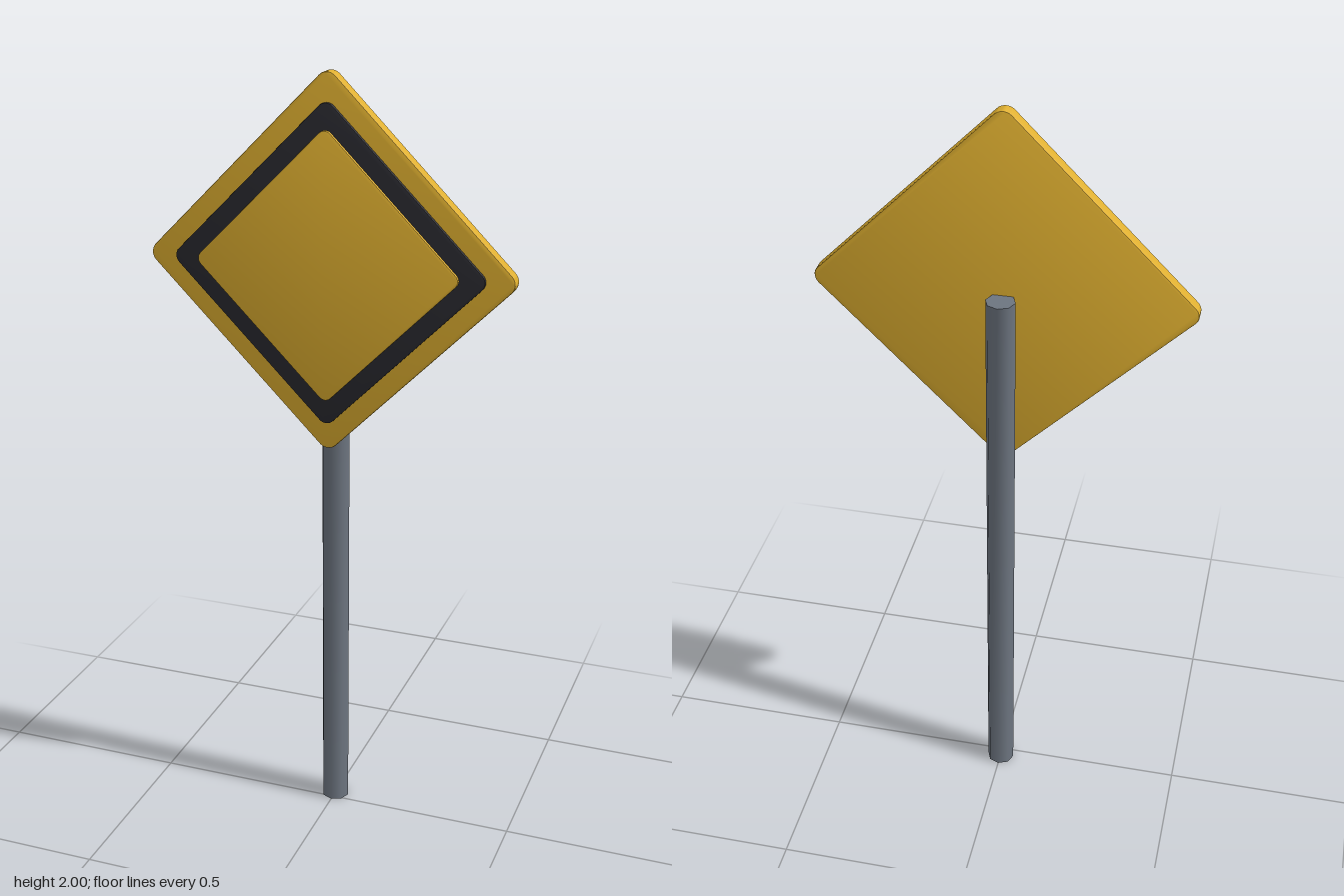
import * as THREE from 'three';
import { toCreasedNormals } from 'three/addons/utils/BufferGeometryUtils.js';

const CENTER_Y = 1.53;

// Square with rounded corners; reach is the distance from centre to a rounded corner
function roundedSquare(reach, r) {
  const h = (reach + r * (Math.SQRT2 - 1)) / Math.SQRT2;
  const s = new THREE.Shape();
  const c = h - r;
  s.absarc(c, c, r, 0, Math.PI / 2);
  s.absarc(-c, c, r, Math.PI / 2, Math.PI);
  s.absarc(-c, -c, r, Math.PI, Math.PI * 1.5);
  s.absarc(c, -c, r, Math.PI * 1.5, Math.PI * 2);
  s.closePath();
  return s;
}

// Diamond-shaped panel between two depths, with slightly softened edges
function panel(name, reach, r, back, front, bevel, color) {
  const geometry = new THREE.ExtrudeGeometry(roundedSquare(reach, r), {
    depth: front - back - 2 * bevel,
    bevelThickness: bevel,
    bevelSize: bevel,
    bevelOffset: -bevel,
    bevelSegments: 2,
    curveSegments: 5,
  });
  const mesh = new THREE.Mesh(
    toCreasedNormals(geometry, 0.7),
    new THREE.MeshStandardMaterial({ color })
  );
  mesh.name = name;
  mesh.rotation.z = Math.PI / 4;
  mesh.position.set(0, CENTER_Y, back + bevel);
  return mesh;
}

export function createModel() {
  const model = new THREE.Group();
  model.name = 'roadSign';

  // Eight-sided pole behind the panels
  const pole = new THREE.Mesh(
    toCreasedNormals(new THREE.CylinderGeometry(0.037, 0.037, CENTER_Y, 8), 1),
    new THREE.MeshStandardMaterial({ color: 0x6d7580 })
  );
  pole.name = 'pole';
  pole.position.set(0, CENTER_Y / 2, -0.023);
  model.add(pole);

  // Stacked panels: plate, dark border, raised face
  model.add(panel('signPlate', 0.47, 0.03, 0.004, 0.041, 0.004, 0xe0b030));
  model.add(panel('darkBorder', 0.399, 0.025, 0.035, 0.051, 0.001, 0x2a2a30));
  model.add(panel('innerFace', 0.335, 0.02, 0.045, 0.06, 0.001, 0xe0b030));

  return model;
}
